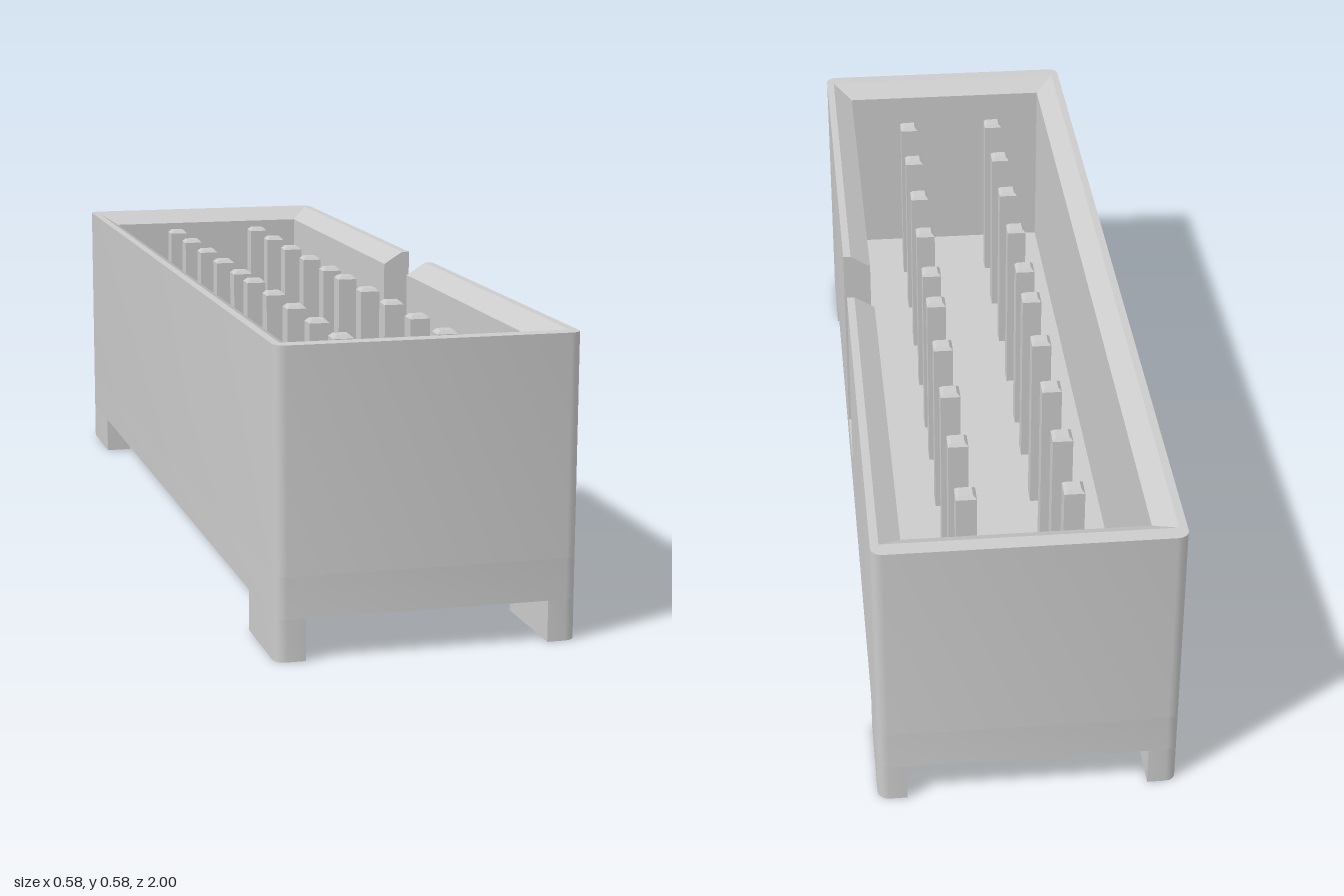
import * as THREE from 'three';
import { toCreasedNormals } from 'three/addons/utils/BufferGeometryUtils.js';

const HX = 0.29, HZ = 1, R = 0.022;            // outer half sizes and corner radius
const FOOT = 0.08, FLOOR = 0.16, TOP = 0.585;  // heights
const IX = 0.232, IZ = 0.922;                  // cavity half sizes
const RX = 0.274, RZ = 0.968, CHAMFER = 0.026; // inner edge of the flat rim
const CORNERS = [[1, 1], [-1, 1], [-1, -1], [1, -1]];
const SEG = 4;

const mat = new THREE.MeshStandardMaterial({ color: 0xcccccc });

function add(parent, name, geometry) {
  const mesh = new THREE.Mesh(geometry, mat);
  mesh.name = name;
  parent.add(mesh);
  return mesh;
}

// Points of the rounded outer corner, in path order
function cornerArc(sx, sz) {
  const start = Math.atan2(sz, sx) - Math.atan2(1, 1);
  const from = Math.round(start / (Math.PI / 2)) * Math.PI / 2;
  return Array.from({ length: SEG + 1 }, (_, i) => {
    const a = from + (i / SEG) * Math.PI / 2;
    return [sx * (HX - R) + R * Math.cos(a), sz * (HZ - R) + R * Math.sin(a)];
  });
}

// Upright prism from an outline of [x, z] points
function prism(points, y0, y1) {
  const shape = new THREE.Shape(points.map(([x, z]) => new THREE.Vector2(x, -z)));
  const g = new THREE.ExtrudeGeometry(shape, { depth: y1 - y0, bevelEnabled: false });
  g.rotateX(-Math.PI / 2).translate(0, y0, 0);
  return toCreasedNormals(g, 0.6);
}

// Wall section swept round the box from one side of the key slot to the other
function shroudGeometry(z0, z1) {
  const section = (ox, oz, rx, rz, ix, iz) => [
    [ox, FLOOR, oz], [ox, TOP, oz], [rx, TOP, rz], [ix, TOP - CHAMFER, iz], [ix, FLOOR, iz],
  ];
  const s = [section(HX, z0, RX, z0, IX, z0)];
  for (const [sx, sz] of CORNERS)
    for (const [x, z] of cornerArc(sx, sz)) s.push(section(x, z, sx * RX, sz * RZ, sx * IX, sz * IZ));
  s.push(section(HX, z1, RX, z1, IX, z1));

  const pos = [];
  const same = (p, q) => p.every((v, i) => Math.abs(v - q[i]) < 1e-6);
  const tri = (a, b, c) => {
    if (!same(a, b) && !same(b, c) && !same(a, c)) pos.push(...a, ...b, ...c);
  };
  for (let i = 0; i < s.length - 1; i++)
    for (let k = 0; k < 4; k++) {
      tri(s[i][k], s[i][k + 1], s[i + 1][k + 1]);
      tri(s[i][k], s[i + 1][k + 1], s[i + 1][k]);
    }
  // end faces at the slot
  const first = s[0], last = s[s.length - 1];
  for (let k = 1; k < 4; k++) {
    tri(first[0], first[k + 1], first[k]);
    tri(last[0], last[k], last[k + 1]);
  }
  const g = new THREE.BufferGeometry();
  g.setAttribute('position', new THREE.Float32BufferAttribute(pos, 3));
  return toCreasedNormals(g, 0.45);
}

// Square pin with a small bevel round its top
function pinGeometry(w, top) {
  const b = 0.007, k = Math.SQRT1_2;
  const profile = [[0, FLOOR], [w, FLOOR], [w, top - b], [w - b, top], [0, top]]
    .map(([r, y]) => new THREE.Vector2(r / k, y));
  const g = new THREE.LatheGeometry(profile, 4, Math.PI / 4);
  return toCreasedNormals(g, 0.3);
}

export function createModel() {
  const model = new THREE.Group();
  model.name = 'boxHeader';

  // Floor slab and surrounding walls with the key slot on the +x side
  add(model, 'base', prism(CORNERS.flatMap(([sx, sz]) => cornerArc(sx, sz)), FOOT, FLOOR));
  add(model, 'shroud', shroudGeometry(0.086, -0.088));

  // Corner feet
  const feet = new THREE.Group();
  feet.name = 'feet';
  model.add(feet);
  for (const [sx, sz] of CORNERS) {
    const x = sx * 0.233, z = sz * 0.79;
    const arc = cornerArc(sx, sz);
    const before = sx * sz > 0 ? [sx * HX, z] : [x, sz * HZ];
    const after = sx * sz > 0 ? [x, sz * HZ] : [sx * HX, z];
    add(feet, 'foot', prism([[x, z], before, ...arc, after], 0, FOOT));
  }

  // Two rows of pins, in two banks of five
  const pins = new THREE.Group();
  pins.name = 'pins';
  model.add(pins);
  const pin = pinGeometry(0.02, 0.56);
  for (const x of [-0.105, 0.1])
    for (const start of [-0.782, 0.058])
      for (let i = 0; i < 5; i++) add(pins, 'pin', pin).position.set(x, 0, start + i * 0.1775);

  return model;
}
